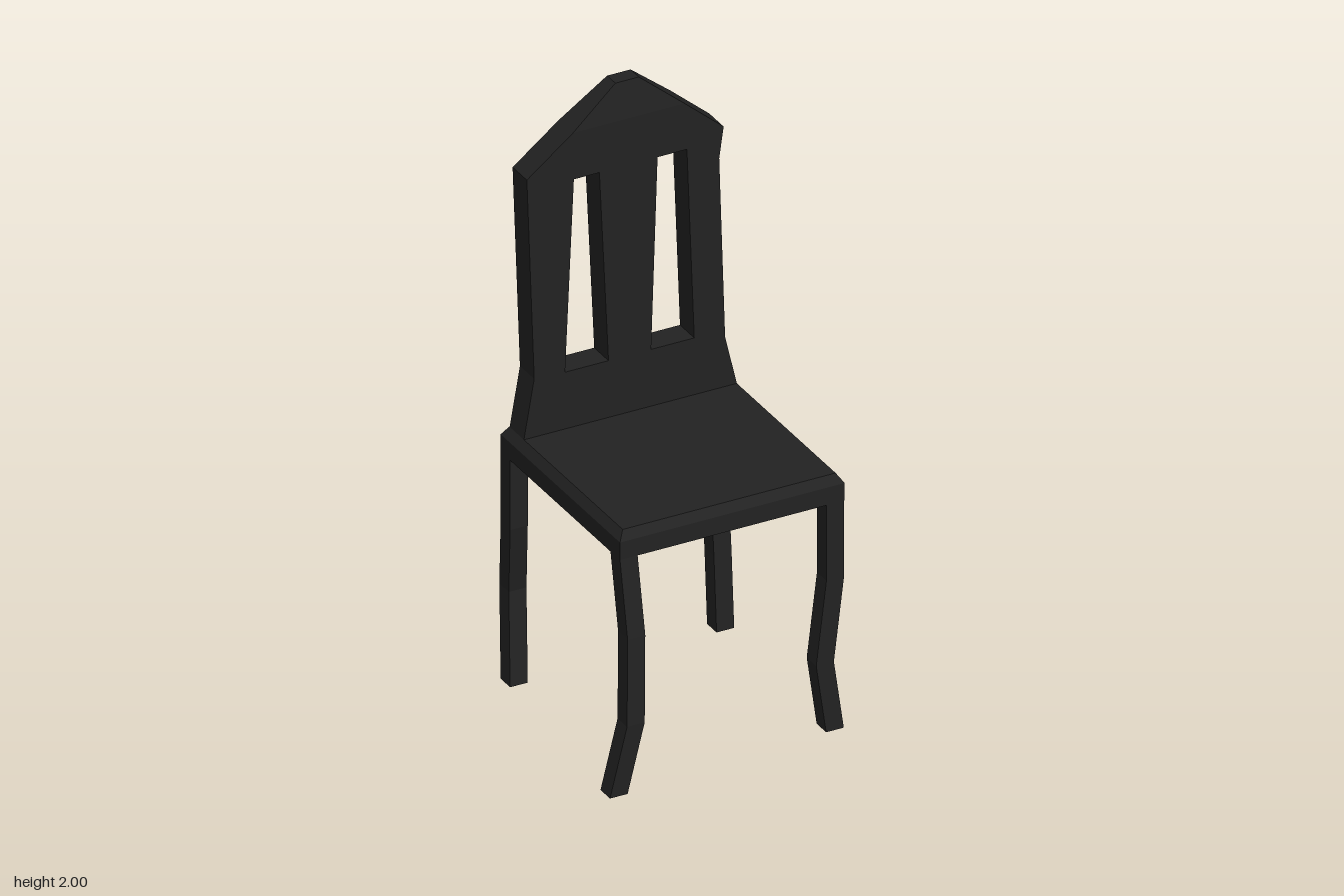
import * as THREE from 'three';

const black = new THREE.MeshStandardMaterial({ color: 0x222222, flatShading: true });
black.name = 'black wood';

// Closed solid through rectangular sections [x0, x1, y, z0, z1], listed bottom to top
function loft(name, sections) {
  const pos = [];
  const rings = sections.map(([x0, x1, y, z0, z1]) => [[x0, y, z1], [x1, y, z1], [x1, y, z0], [x0, y, z0]]);
  const quad = (a, b, c, d) => pos.push(...a, ...b, ...c, ...a, ...c, ...d);
  for (let i = 0; i < rings.length - 1; i++) {
    for (let j = 0; j < 4; j++) {
      const k = (j + 1) % 4;
      quad(rings[i][j], rings[i][k], rings[i + 1][k], rings[i + 1][j]);
    }
  }
  const [a, b, c, d] = rings[0];
  quad(d, c, b, a);
  quad(...rings[rings.length - 1]);
  const geo = new THREE.BufferGeometry();
  geo.setAttribute('position', new THREE.Float32BufferAttribute(pos, 3));
  geo.computeVertexNormals();
  const mesh = new THREE.Mesh(geo, black);
  mesh.name = name;
  return mesh;
}

// Crooked square leg along centre points [x, y, z], bottom to top
function leg(name, points) {
  const h = 0.03;
  return loft(name, points.map(([x, y, z]) => [x - h, x + h, y, z - h, z + h]));
}

const toPoints = (list) => list.map(([x, y]) => new THREE.Vector2(x, y));

export function createModel() {
  const group = new THREE.Group();
  group.name = 'chair';

  // Seat with a chamfered upper edge
  group.add(loft('seat', [
    [-0.355, 0.41, 0.78, -0.385, 0.367],
    [-0.355, 0.41, 0.84, -0.385, 0.367],
    [-0.335, 0.39, 0.87, -0.367, 0.347],
  ]));

  // Legs, each bent differently
  group.add(leg('frontRightLeg', [
    [-0.385, 0, 0.385], [-0.335, 0.24, 0.4], [-0.325, 0.53, 0.385], [-0.325, 0.78, 0.337],
  ]));
  group.add(leg('frontLeftLeg', [
    [0.377, 0, 0.337], [0.34, 0.24, 0.343], [0.378, 0.52, 0.337], [0.378, 0.78, 0.337],
  ]));
  group.add(leg('backRightLeg', [
    [-0.325, 0, -0.355], [-0.305, 0.3, -0.4], [-0.325, 0.54, -0.355], [-0.325, 0.78, -0.355],
  ]));
  group.add(leg('backLeftLeg', [
    [0.378, 0, -0.355], [0.381, 0.25, -0.377], [0.381, 0.51, -0.4], [0.38, 0.78, -0.355],
  ]));

  // Backrest panel with two tapering slots
  const shape = new THREE.Shape(toPoints([
    [-0.335, 0.87], [0.39, 0.87], [0.35, 1.04], [0.33, 1.66], [0.345, 1.765],
    [0.212, 1.88], [-0.168, 1.88], [-0.325, 1.76], [-0.3, 1.07],
  ]));
  for (const slot of [
    [[-0.195, 1.065], [-0.165, 1.72], [-0.078, 1.72], [-0.047, 1.065]],
    [[0.098, 1.065], [0.12, 1.72], [0.22, 1.72], [0.245, 1.065]],
  ]) shape.holes.push(new THREE.Path(toPoints(slot)));
  const panelGeo = new THREE.ExtrudeGeometry(shape, { depth: 0.09, bevelEnabled: false });
  panelGeo.translate(0, 0, -0.365);
  const panel = new THREE.Mesh(panelGeo, black);
  panel.name = 'backrest';
  group.add(panel);

  // Peak of the backrest, thinning towards the top
  group.add(loft('backrestPeak', [
    [-0.168, 0.212, 1.88, -0.365, -0.275],
    [-0.013, 0.067, 2, -0.347, -0.295],
  ]));

  return group;
}
